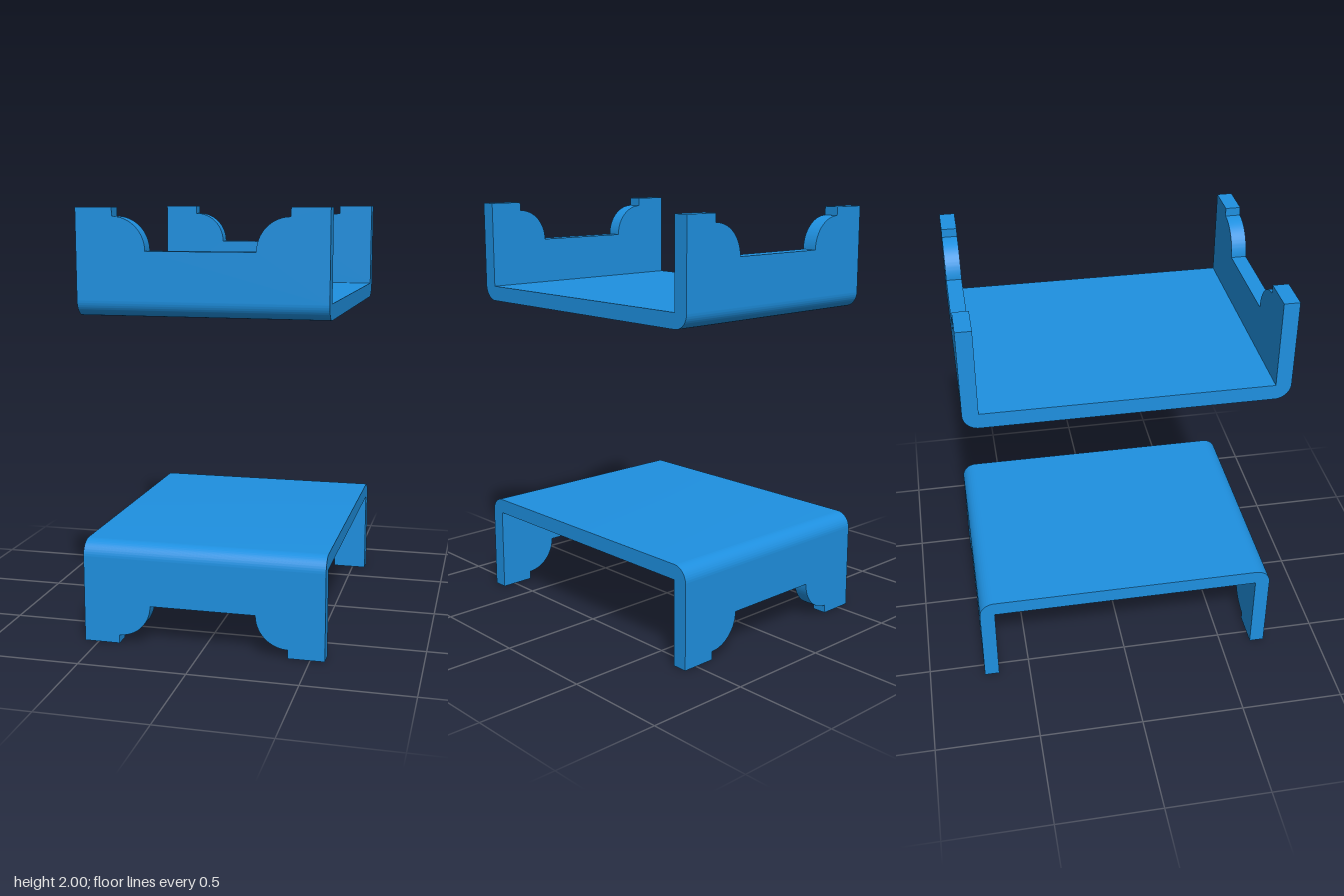
import * as THREE from 'three';
import { toCreasedNormals } from 'three/addons/utils/BufferGeometryUtils.js';

const HALF_W = 0.567;  // half width along x
const HALF_D = 0.727;  // half depth along z
const T = 0.072;       // sheet thickness
const HEIGHT = 0.48;   // height of one bracket

const material = new THREE.MeshStandardMaterial({ color: 0x1e90e0 });

// Extrude a shape centred on its depth, with crisp edges and smooth curves
function extrude(shape, depth) {
  const geometry = new THREE.ExtrudeGeometry(shape, { depth, bevelEnabled: false, curveSegments: 16 });
  geometry.translate(0, 0, -depth / 2);
  return toCreasedNormals(geometry, 0.6);
}

// Flat panel with rounded outer bends along both ends
function panelGeometry() {
  const y = HEIGHT - T;
  const s = new THREE.Shape();
  s.moveTo(-HALF_D, y);
  s.lineTo(HALF_D, y);
  s.absarc(HALF_D - T, y, T, 0, Math.PI / 2, false);
  s.absarc(-HALF_D + T, y, T, Math.PI / 2, Math.PI, false);
  return extrude(s, 2 * HALF_W).rotateY(-Math.PI / 2);
}

// Upright wall with two feet, each with a quarter-round inner shoulder
function wallGeometry() {
  const footX = 0.398, notchY = 0.19, r = 0.15, top = HEIGHT - T;
  const s = new THREE.Shape();
  s.moveTo(-HALF_W, 0);
  s.lineTo(-footX, 0);
  s.absarc(-footX, notchY, r, -Math.PI / 2, 0, false);
  s.absarc(footX, notchY, r, Math.PI, Math.PI * 1.5, false);
  s.lineTo(footX, 0);
  s.lineTo(HALF_W, 0);
  s.lineTo(HALF_W, top);
  s.lineTo(-HALF_W, top);
  return extrude(s, T);
}

// One U-shaped bracket standing on its feet
function createBracket(name) {
  const bracket = new THREE.Group();
  bracket.name = name;
  const panel = new THREE.Mesh(panelGeometry(), material);
  panel.name = 'panel';
  bracket.add(panel);
  for (const side of [1, -1]) {
    const wall = new THREE.Mesh(wallGeometry(), material);
    wall.name = side > 0 ? 'frontWall' : 'backWall';
    wall.position.z = side * (HALF_D - T / 2);
    bracket.add(wall);
  }
  return bracket;
}

export function createModel() {
  const model = new THREE.Group();
  model.name = 'bracketPair';
  const lower = createBracket('lowerBracket');
  // Same bracket turned upside down, feet pointing up
  const upper = createBracket('upperBracket');
  upper.rotation.x = Math.PI;
  upper.position.y = 2;
  model.add(lower, upper);
  return model;
}
